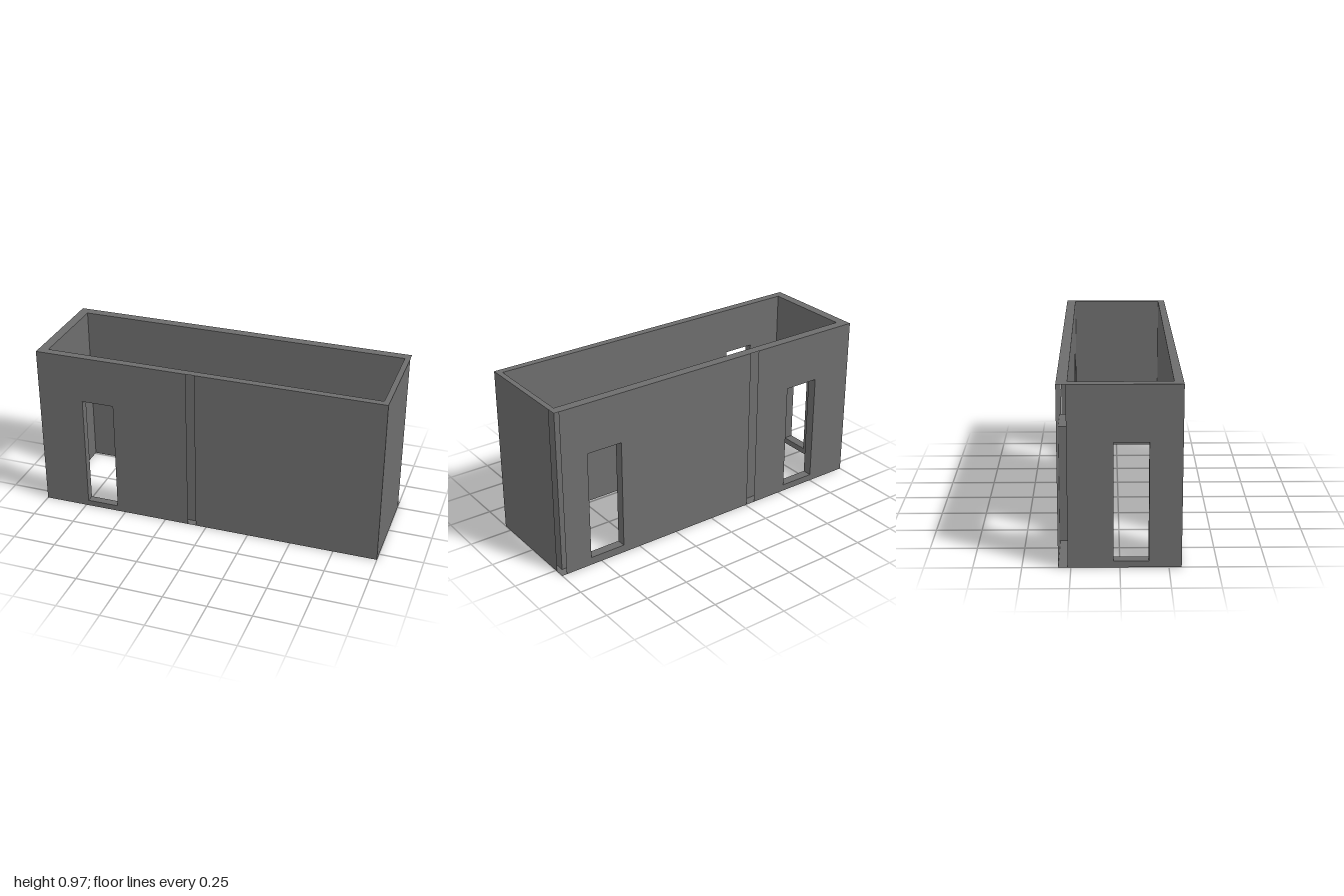
import * as THREE from 'three';

const H = 0.968;
const material = new THREE.MeshStandardMaterial({ color: 0x6d6d6d, side: THREE.DoubleSide, flatShading: true });

// Plan corners [x, z]: front left end, front right end, back right end, back left end
const OUT = [[-1, 0.315], [1, 0.306], [1, -0.315], [-1, -0.315]];
const IN = [[-0.945, 0.267], [0.97, 0.267], [0.97, -0.262], [-0.945, -0.259]];

function rect(T, u0, u1, y0, y1) {
  const r = new T();
  r.moveTo(u0, y0);
  r.lineTo(u1, y0);
  r.lineTo(u1, y1);
  r.lineTo(u0, y1);
  r.closePath();
  return r;
}

// Point on the plan line a-b where axis (0 = x, 1 = z) has the value u
function at([a, b], axis, u) {
  const t = (u - a[axis]) / (b[axis] - a[axis]);
  return [a[0] + (b[0] - a[0]) * t, a[1] + (b[1] - a[1]) * t];
}

function createWall(name, i, axis, spans, openings, ribs = []) {
  const wall = new THREE.Group();
  wall.name = name;
  const o = [OUT[i], OUT[(i + 1) % 4]], n = [IN[i], IN[(i + 1) % 4]];

  function add(part, geometry) {
    geometry.computeVertexNormals();
    const mesh = new THREE.Mesh(geometry, material);
    mesh.name = part;
    wall.add(mesh);
  }

  // Upright sheet over a plan line, pierced by the openings inside its span
  function sheet(part, line, u0, u1, flip) {
    const lo = Math.min(u0, u1), hi = Math.max(u0, u1);
    const shape = rect(THREE.Shape, lo, hi, 0, H);
    for (const [a, b, y0, y1] of openings) {
      if (a > lo && b < hi) shape.holes.push(rect(THREE.Path, a, b, y0, y1));
    }
    const g = new THREE.ShapeGeometry(shape);
    const p = g.attributes.position;
    for (let k = 0; k < p.count; k++) {
      const [x, z] = at(line, axis, p.getX(k));
      p.setXYZ(k, x, p.getY(k), z);
    }
    if (flip) g.index.array.reverse();
    add(part, g);
  }

  // Strip joining the outer and inner sheets between two wall points
  function reveal(part, [u0, y0], [u1, y1]) {
    const pts = [[o, u0, y0], [o, u1, y1], [n, u1, y1], [n, u0, y0]].map(([line, u, y]) => {
      const [x, z] = at(line, axis, u);
      return new THREE.Vector3(x, y, z);
    });
    const g = new THREE.BufferGeometry().setFromPoints(pts);
    g.setIndex([0, 1, 2, 0, 2, 3]);
    add(part, g);
  }

  const flipOuter = i === 1 || i === 2;
  for (const [a, b] of spans) sheet('outerFace', o, a, b, flipOuter);
  sheet('innerFace', n, n[0][axis], n[1][axis], !flipOuter);
  for (const [a, b, y0, y1] of openings) {
    reveal('jamb', [a, y1], [a, y0]);
    reveal('jamb', [b, y0], [b, y1]);
    reveal('sill', [a, y0], [b, y0]);
    reveal('lintel', [b, y1], [a, y1]);
  }
  for (const u of ribs) reveal('slotSide', [u, 0], [u, H]);
  return wall;
}

// Flat ring closing the hollow walls above or below
function createRim(name, y, up) {
  const s = up ? -1 : 1;
  const outline = (ring) => ring.map(([x, z]) => new THREE.Vector2(x, s * z));
  const shape = new THREE.Shape(outline(OUT));
  shape.holes.push(new THREE.Path(outline(IN)));
  const g = new THREE.ShapeGeometry(shape);
  g.rotateX(s * Math.PI / 2);
  g.translate(0, y, 0);
  const mesh = new THREE.Mesh(g, material);
  mesh.name = name;
  return mesh;
}

export function createModel() {
  const room = new THREE.Group();
  room.name = 'roomShell';

  // Long walls with doorways and a narrow upright slot in the outer face
  room.add(createWall('frontWall', 0, 0, [[-1, -0.11], [-0.062, 1]],
    [[-0.734, -0.548, 0.034, 0.695]], [-0.062]));
  room.add(createWall('backWall', 2, 0, [[-1, -0.314], [-0.259, 0.972]],
    [[-0.75, -0.538, 0.039, 0.675], [0.605, 0.815, 0.045, 0.68]], [-0.259]));

  // End walls stop short of the back corners, leaving open slots there
  room.add(createWall('leftEndWall', 1, 1, [[0.306, -0.262]], []));
  room.add(createWall('rightEndWall', 3, 1, [[-0.266, 0.315]],
    [[-0.032, 0.147, 0.035, 0.669]]));

  room.add(createRim('topRim', H, true), createRim('bottomRim', 0, false));
  return room;
}
